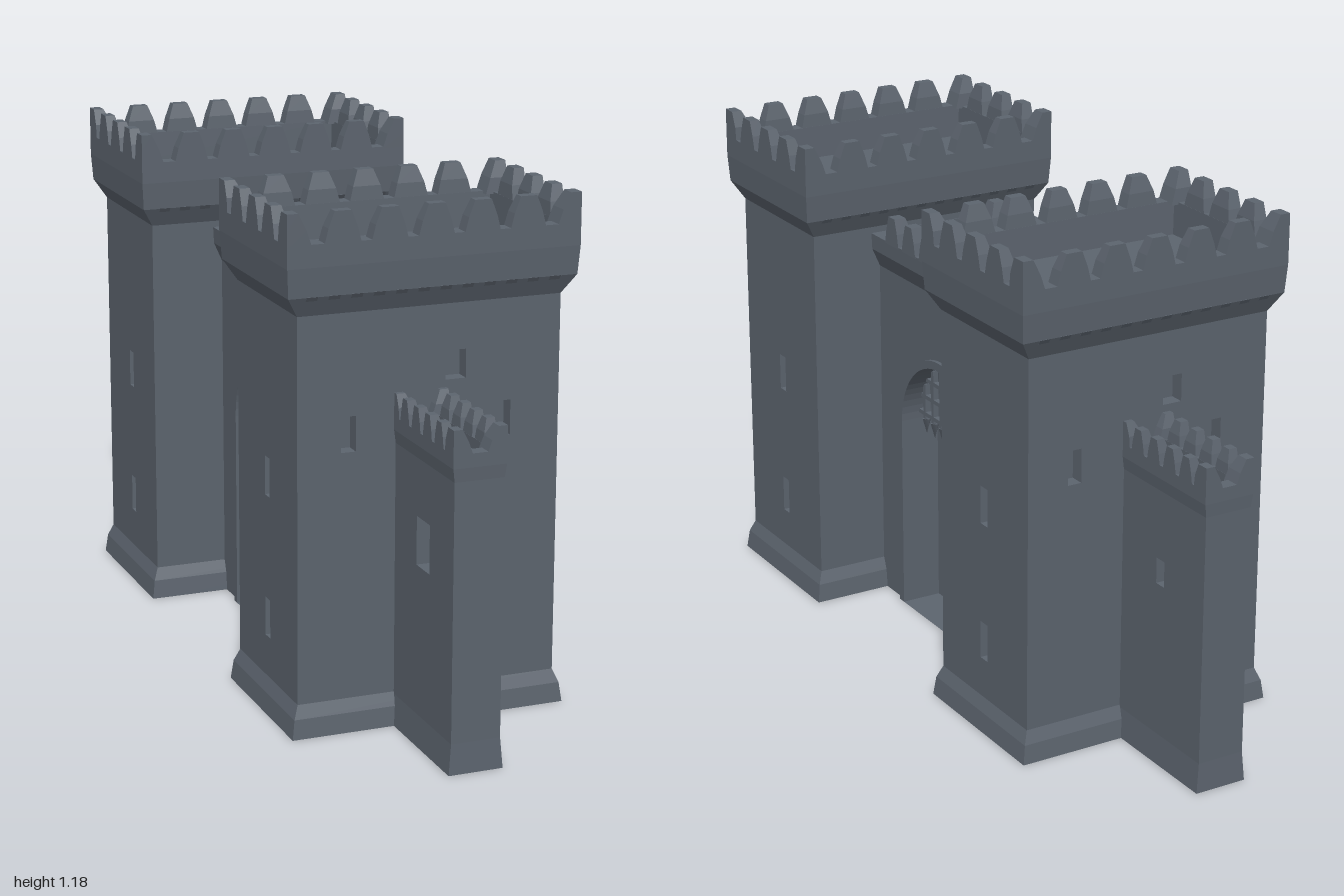
import * as THREE from 'three';

const stone = new THREE.MeshStandardMaterial({ color: 0x5c646e, side: THREE.DoubleSide });
stone.name = 'slate stone';

function part(parent, name, geometry, x = 0, y = 0, z = 0) {
  const mesh = new THREE.Mesh(geometry, stone);
  mesh.name = name;
  mesh.position.set(x, y, z);
  parent.add(mesh);
  return mesh;
}

function group(parent, name, x = 0, y = 0, z = 0) {
  const g = new THREE.Group();
  g.name = name;
  g.position.set(x, y, z);
  if (parent) parent.add(g);
  return g;
}

// Skin over rectangular cross-sections [halfX, halfZ, y]
function loft(sections) {
  const pos = [];
  const corners = ([hx, hz, y]) => [[-hx, y, hz], [hx, y, hz], [hx, y, -hz], [-hx, y, -hz]];
  for (let s = 0; s < sections.length - 1; s++) {
    const lo = corners(sections[s]), hi = corners(sections[s + 1]);
    for (let i = 0; i < 4; i++) {
      const j = (i + 1) % 4;
      pos.push(...lo[i], ...lo[j], ...hi[j], ...lo[i], ...hi[j], ...hi[i]);
    }
  }
  const g = new THREE.BufferGeometry();
  g.setAttribute('position', new THREE.Float32BufferAttribute(pos, 3));
  g.computeVertexNormals();
  return g;
}

function rectPath(path, x, y, w, h) {
  path.moveTo(x - w / 2, y);
  path.lineTo(x + w / 2, y);
  path.lineTo(x + w / 2, y + h);
  path.lineTo(x - w / 2, y + h);
  path.closePath();
  return path;
}

// Wall slab centred on its depth, with rectangular holes [x, y, w, h]
function slab(w, h, depth, holes = []) {
  const shape = rectPath(new THREE.Shape(), 0, 0, w, h);
  for (const o of holes) shape.holes.push(rectPath(new THREE.Path(), ...o));
  return new THREE.ExtrudeGeometry(shape, { depth, bevelEnabled: false }).translate(0, 0, -depth / 2);
}

// Tapered tooth; sx and sz push its top outwards at corners
function merlon(w, d, h, sx = 0, sz = 0) {
  const g = new THREE.BoxGeometry(w, h, d, 1, 2, 1);
  g.translate(0, h / 2, 0);
  const p = g.attributes.position;
  for (let i = 0; i < p.count; i++) {
    const t = p.getY(i) / h;
    const k = t > 0.9 ? 0.45 : t > 0.4 ? 0.78 : 1;
    const kd = t > 0.9 ? 0.65 : t > 0.4 ? 0.92 : 1;
    p.setX(i, p.getX(i) * k + sx * (1 - k) * w / 2);
    p.setZ(i, p.getZ(i) * kd + sz * (1 - kd) * d / 2);
  }
  const flat = g.toNonIndexed();
  flat.computeVertexNormals();
  return flat;
}

// Rows of merlons: nx steps along x, nz steps along z, each optional
function battlements(parent, hx, hz, y, h, t, nx, nz, corners = true) {
  const g = group(parent, 'battlements');
  const wx = nx ? 1.5 * hx / nx : 0, wz = 1.5 * hz / nz;
  for (const s of [-1, 1]) {
    for (let i = 1; i < nx; i++) {
      const x = (-1 + 2 * i / nx) * (hx - t / 2);
      part(g, 'merlon', merlon(wx, t, h, 0, s), x, y, s * (hz - t / 2));
    }
    for (let i = 1; i < nz; i++) {
      const z = (-1 + 2 * i / nz) * (hz - t / 2);
      part(g, 'merlon', merlon(wz, t, h, 0, s).rotateY(Math.PI / 2), s * (hx - t / 2), y, z);
    }
    if (corners) for (const c of [-1, 1]) {
      const w = t * 1.5;
      part(g, 'cornerMerlon', merlon(w, w, h, s, c), s * (hx - w / 2), y, c * (hz - w / 2));
    }
  }
}

// Row of wedge corbels under a head, on the four sides
function corbels(parent, hx, hz, y, h) {
  const g = group(parent, 'corbels');
  const wedge = new THREE.BoxGeometry(0.026, h, 0.05);
  const p = wedge.attributes.position;
  for (let i = 0; i < p.count; i++) {
    if (p.getY(i) < 0 && p.getZ(i) > 0) p.setZ(i, -0.012);
  }
  const geo = wedge.toNonIndexed();
  geo.computeVertexNormals();
  for (let side = 0; side < 4; side++) {
    const along = side % 2 ? hz : hx, out = side % 2 ? hx : hz;
    const row = group(g, 'corbelRow');
    row.rotation.y = side * Math.PI / 2;
    const n = Math.round(2 * along / 0.05);
    for (let i = 0; i < n; i++) {
      part(row, 'corbel', geo, -along + (i + 0.5) * 2 * along / n, y, out);
    }
  }
}

function tower(name, z, turn) {
  const g = group(null, name, 0, 0, z);
  g.rotation.y = turn;
  const hx = 0.308, hz = 0.187, t = 0.035, h = 0.98;
  const slits = [[0, 0.5, 0.03, 0.09], [0, 0.17, 0.03, 0.09]];
  const outer = [[-0.19, 0.64, 0.034, 0.08], [0.175, 0.64, 0.034, 0.08], [0.06, 0.78, 0.048, 0.065]];
  part(g, 'core', new THREE.BoxGeometry(2 * (hx - t), h, 2 * (hz - t)), 0, h / 2, 0);
  part(g, 'outerWall', slab(2 * hx, h, t, outer), 0, 0, hz - t / 2);
  part(g, 'innerWall', slab(2 * hx, h, t), 0, 0, -hz + t / 2);
  for (const s of [-1, 1]) {
    part(g, 'slitWall', slab(2 * hz, h, t, slits).rotateY(s * Math.PI / 2), s * (hx - t / 2), 0, 0);
  }
  part(g, 'plinth', loft([
    [0, 0, 0], [0.326, 0.204, 0], [0.32, 0.199, 0.045], [hx, hz, 0.075],
  ]));
  // Overhanging head with a sunken roof
  part(g, 'head', loft([
    [hx, hz, 0.95], [0.336, 0.21, 0.995], [0.34, 0.215, 1.06], [0.34, 0.215, 1.11],
    [0.303, 0.178, 1.11], [0.3, 0.175, 1.03], [0, 0, 1.03],
  ]));
  corbels(g, hx, hz, 0.968, 0.056);
  battlements(g, 0.34, 0.215, 1.105, 0.073, 0.037, 6, 4);
  return g;
}

function archPath(path, r, spring) {
  path.moveTo(-r, 0);
  path.lineTo(r, 0);
  path.lineTo(r, spring);
  path.absellipse(0, spring, r, r, 0, Math.PI, false);
  path.closePath();
  return path;
}

function gatehouse() {
  const g = group(null, 'gatehouse');
  const spring = 0.485, r = 0.187, hx = 0.13;
  const wall = rectPath(new THREE.Shape(), 0, 0, 0.62, 0.88);
  wall.holes.push(archPath(new THREE.Path(), r, spring));
  const turn = -Math.PI / 2;
  part(g, 'gateWall', new THREE.ExtrudeGeometry(wall, { depth: 2 * hx, bevelEnabled: false, curveSegments: 16 })
    .translate(0, 0, -hx).rotateY(turn));
  part(g, 'door', slab(0.4, 0.7, 0.08).rotateY(turn));
  // Moulding around the arch
  const ring = archPath(new THREE.Shape(), r + 0.02, spring);
  ring.holes.push(archPath(new THREE.Path(), r, spring));
  const moulding = new THREE.ExtrudeGeometry(ring, { depth: 0.012, bevelEnabled: false, curveSegments: 16 });
  moulding.translate(0, 0, -0.006).rotateY(turn);
  for (const s of [-1, 1]) {
    part(g, 'archMoulding', moulding, s * (hx + 0.004), 0, 0);
    const p = group(g, 'portcullis', s * 0.085, 0, 0);
    for (let i = -4; i <= 4; i++) {
      const z = i * 0.04, top = spring + Math.sqrt(r * r - z * z), low = 0.49;
      part(p, 'bar', new THREE.BoxGeometry(0.014, top - low, 0.011), 0, (top + low) / 2, z);
      part(p, 'spike', new THREE.ConeGeometry(0.012, 0.04, 4).rotateX(Math.PI), 0, low - 0.018, z);
    }
    for (const y of [0.505, 0.55, 0.595, 0.64]) {
      const w = 2 * Math.sqrt(r * r - (y - spring) ** 2);
      part(p, 'crossbar', new THREE.BoxGeometry(0.014, 0.01, w), 0, y, 0);
    }
    part(g, 'doorKnob', new THREE.OctahedronGeometry(0.022), s * 0.045, 0.21, 0);
  }
  // Walkway between two parapets
  part(g, 'walkway', loft([
    [hx, 0.31, 0.85], [0.15, 0.31, 0.895], [0.152, 0.31, 0.935],
    [0.105, 0.305, 0.935], [0.103, 0.305, 0.88], [0, 0, 0.88],
  ]));
  battlements(g, 0.152, 0.31, 0.93, 0.07, 0.045, 0, 7, false);
  return g;
}

// Low side wall with a loophole, blind when backed
function wing(name, x, z, blind) {
  const g = group(null, name, x, 0, z);
  const hx = 0.057, hz = 0.165;
  const hole = blind ? [0.005, 0.41, 0.07, 0.11] : [0, 0.43, 0.03, 0.06];
  part(g, 'wingWall', slab(2 * hz, 0.68, 2 * hx, [hole]).rotateY(-Math.PI / 2));
  if (blind) part(g, 'loopholeBack', slab(0.1, 0.14, 0.05).rotateY(-Math.PI / 2), 0, 0.39, 0);
  part(g, 'wingFoot', loft([[0, 0, 0], [hx + 0.006, hz + 0.003, 0], [hx, hz, 0.07]]));
  part(g, 'wingParapet', loft([
    [hx, hz, 0.65], [hx + 0.004, hz + 0.002, 0.68], [hx + 0.004, hz + 0.002, 0.71],
    [hx - 0.026, hz - 0.03, 0.71], [hx - 0.026, hz - 0.03, 0.685], [0, 0, 0.685],
  ]));
  battlements(g, hx + 0.004, hz + 0.002, 0.705, 0.058, 0.03, 0, 5);
  return g;
}

export function createModel() {
  const model = group(null, 'castleGate');
  model.add(
    tower('frontTower', 0.495, 0),
    tower('backTower', -0.495, Math.PI),
    gatehouse(),
    wing('frontWing', -0.023, 0.832, true),
    wing('backWing', 0.006, -0.832, false),
  );
  return model;
}
